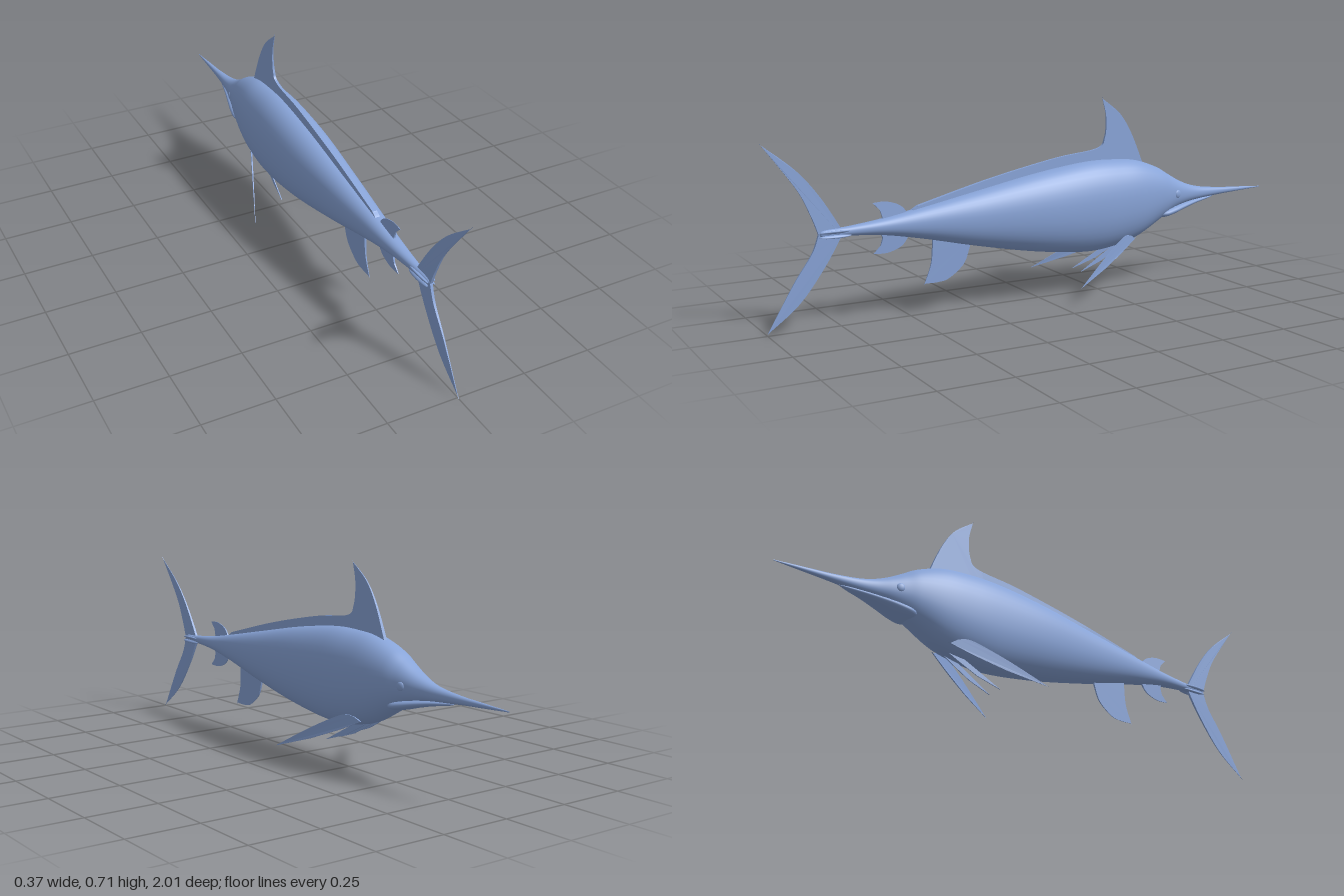
import * as THREE from 'three';

const skin = new THREE.MeshStandardMaterial({ color: 0x88a4d8 });
skin.name = 'blue skin';

// Smooth oval loft along z; stations are [z, top, bottom, halfWidth]
function loft(stations, steps, sides = 40, power = 0.92) {
  const yz = new THREE.CatmullRomCurve3(stations.map(s => new THREE.Vector3(s[0], s[1], s[2])), false, 'centripetal');
  const wz = new THREE.CatmullRomCurve3(stations.map(s => new THREE.Vector3(s[0], s[3], 0)), false, 'centripetal');
  const pos = [], idx = [];
  const bend = v => Math.sign(v) * Math.pow(Math.abs(v), power);
  for (let i = 0; i <= steps; i++) {
    const p = yz.getPoint(i / steps), w = Math.max(wz.getPoint(i / steps).y, 0.0002);
    const mid = (p.y + p.z) / 2, h = Math.max((p.y - p.z) / 2, 0.0002);
    for (let j = 0; j < sides; j++) {
      const a = j / sides * Math.PI * 2;
      pos.push(w * bend(Math.cos(a)), mid + h * bend(Math.sin(a)), p.x);
      if (i < steps) {
        const k = (j + 1) % sides, r = i * sides, n = r + sides;
        idx.push(r + j, r + k, n + j, r + k, n + k, n + j);
      }
    }
  }
  const g = new THREE.BufferGeometry();
  g.setAttribute('position', new THREE.Float32BufferAttribute(pos, 3));
  g.setIndex(idx);
  g.computeVertexNormals();
  return g;
}

// Thin fin from smooth edges of [z, y] points, meeting at corners.
// thick(z, y) gives its thickness, offset(z) its sideways position.
function fin(edges, thick, offset = () => 0) {
  const shape = new THREE.Shape();
  shape.moveTo(...edges[0][0]);
  edges.forEach((e, i) => {
    const pts = (i ? e : e.slice(1)).map(p => new THREE.Vector2(...p));
    if (pts.length === 1) shape.lineTo(pts[0].x, pts[0].y);
    else shape.splineThru(pts);
  });
  const g = new THREE.ExtrudeGeometry(shape, { depth: 1, bevelEnabled: false, curveSegments: 10 });
  g.translate(0, 0, -0.5);
  g.rotateY(-Math.PI / 2);
  const p = g.attributes.position;
  for (let i = 0; i < p.count; i++) {
    const z = p.getZ(i), y = p.getY(i);
    p.setX(i, p.getX(i) * thick(z, y) + offset(z));
  }
  g.computeVertexNormals();
  return g;
}

export function createModel() {
  const model = new THREE.Group();
  const add = (name, geometry) => {
    const m = new THREE.Mesh(geometry, skin);
    m.name = name;
    model.add(m);
    return m;
  };
  // Thickness falling off away from the body's midline
  const taper = (base, reach) => (z, y) => Math.max(0.0015, base * (1 - Math.abs(y - 0.31) / reach));

  // Body with the long upper bill
  add('body', loft([
    [-1, 0.322, 0.319, 0.001], [-0.9, 0.328, 0.313, 0.007], [-0.8, 0.334, 0.307, 0.013],
    [-0.7, 0.346, 0.298, 0.023], [-0.65, 0.359, 0.291, 0.032], [-0.6, 0.38, 0.279, 0.045],
    [-0.55, 0.408, 0.26, 0.058], [-0.5, 0.437, 0.232, 0.072], [-0.4, 0.471, 0.18, 0.09],
    [-0.3, 0.48, 0.155, 0.098], [-0.2, 0.48, 0.147, 0.1], [0, 0.456, 0.168, 0.094],
    [0.25, 0.41, 0.216, 0.07], [0.46, 0.37, 0.264, 0.045], [0.6, 0.345, 0.29, 0.029],
    [0.72, 0.331, 0.3, 0.017], [0.81, 0.324, 0.303, 0.01], [0.82, 0.314, 0.313, 0.001],
  ], 140));

  // Lower jaw
  add('lowerJaw', loft([
    [-0.77, 0.304, 0.302, 0.002], [-0.74, 0.305, 0.294, 0.011], [-0.68, 0.302, 0.283, 0.025],
    [-0.61, 0.295, 0.266, 0.043], [-0.56, 0.288, 0.252, 0.054], [-0.52, 0.28, 0.245, 0.055], [-0.48, 0.27, 0.25, 0.03],
  ], 30, 28));

  // Tall dorsal fin running back into a low ridge
  add('dorsalFin', fin([
    [[-0.44, 0.45], [-0.435, 0.467], [-0.39, 0.57], [-0.34, 0.645], [-0.265, 0.703]],
    [[-0.265, 0.703], [-0.281, 0.635], [-0.275, 0.56], [-0.24, 0.522], [-0.07, 0.5], [0.195, 0.447], [0.47, 0.377]],
    [[0.47, 0.36], [0.2, 0.4], [-0.1, 0.44], [-0.35, 0.45]],
  ], taper(0.02, 0.42)));

  // Small paired finlets above and below the tail stalk
  const finlet = [[0.63, 0.4], [0.58, 0.401], [0.53, 0.383], [0.505, 0.35], [0.505, 0.33]];
  const finletBack = [[0.595, 0.33], [0.597, 0.35], [0.605, 0.375], [0.63, 0.4]];
  const flip = e => e.map(([z, y]) => [z, 0.628 - y]);
  add('rearDorsalFinlet', fin([finlet, finletBack.slice(0, 3)], taper(0.01, 0.11)));
  add('rearAnalFinlet', fin([flip(finlet), flip(finletBack.slice(0, 3))], taper(0.01, 0.11)));

  // Anal fin
  add('analFin', fin([
    [[0.27, 0.24], [0.277, 0.21], [0.3, 0.155], [0.355, 0.112], [0.4, 0.103], [0.447, 0.104]],
    [[0.447, 0.104], [0.422, 0.172], [0.415, 0.25], [0.412, 0.29]],
  ], taper(0.012, 0.24)));

  // Forked tail
  add('tailFin', fin([
    [[0.735, 0.314], [0.81, 0.435], [0.89, 0.53], [1, 0.618]],
    [[1, 0.618], [0.89, 0.47], [0.845, 0.38], [0.82, 0.313]],
    [[0.82, 0.313], [0.845, 0.25], [0.91, 0.155], [1, 0.004]],
    [[1, 0.004], [0.89, 0.09], [0.8, 0.205], [0.735, 0.314]],
  ], taper(0.01, 0.32)));

  for (const [s, side] of [[1, 'left'], [-1, 'right']]) {
    // Swept pectoral fins
    add(side + 'PectoralFin', fin([
      [[-0.07, 0.062], [-0.2, 0.143], [-0.31, 0.2], [-0.355, 0.2]],
      [[-0.355, 0.2], [-0.378, 0.185]],
      [[-0.378, 0.185], [-0.3, 0.147], [-0.2, 0.105], [-0.07, 0.062]].slice(0, 3),
    ], z => 0.005 * Math.min(1, 0.2 - (z + 0.07) * 4), z => s * (0.178 + 0.42 * (z + 0.08))));

    // Slender pelvic fins
    add(side + 'PelvicFin', fin([
      [[-0.16, 0.08], [-0.24, 0.125], [-0.33, 0.175]],
      [[-0.36, 0.17], [-0.25, 0.11]],
    ], () => 0.003, z => s * (0.031 + 0.08 * (z + 0.16))));

    // Twin keels on the tail stalk
    for (const dy of [0.007, -0.007]) {
      const keel = add(side + 'TailKeel', new THREE.SphereGeometry(1, 16, 12));
      keel.scale.set(0.009, 0.005, 0.055);
      keel.position.set(s * 0.013, 0.311 + dy, 0.765);
      keel.rotation.z = s * Math.sign(dy) * 0.5;
    }

    // Eyes
    const eye = add(side + 'Eye', new THREE.SphereGeometry(1, 20, 14));
    eye.scale.set(0.006, 0.015, 0.015);
    eye.position.set(s * 0.05, 0.334, -0.572);
    eye.rotation.y = s * 0.25;
  }
  return model;
}
